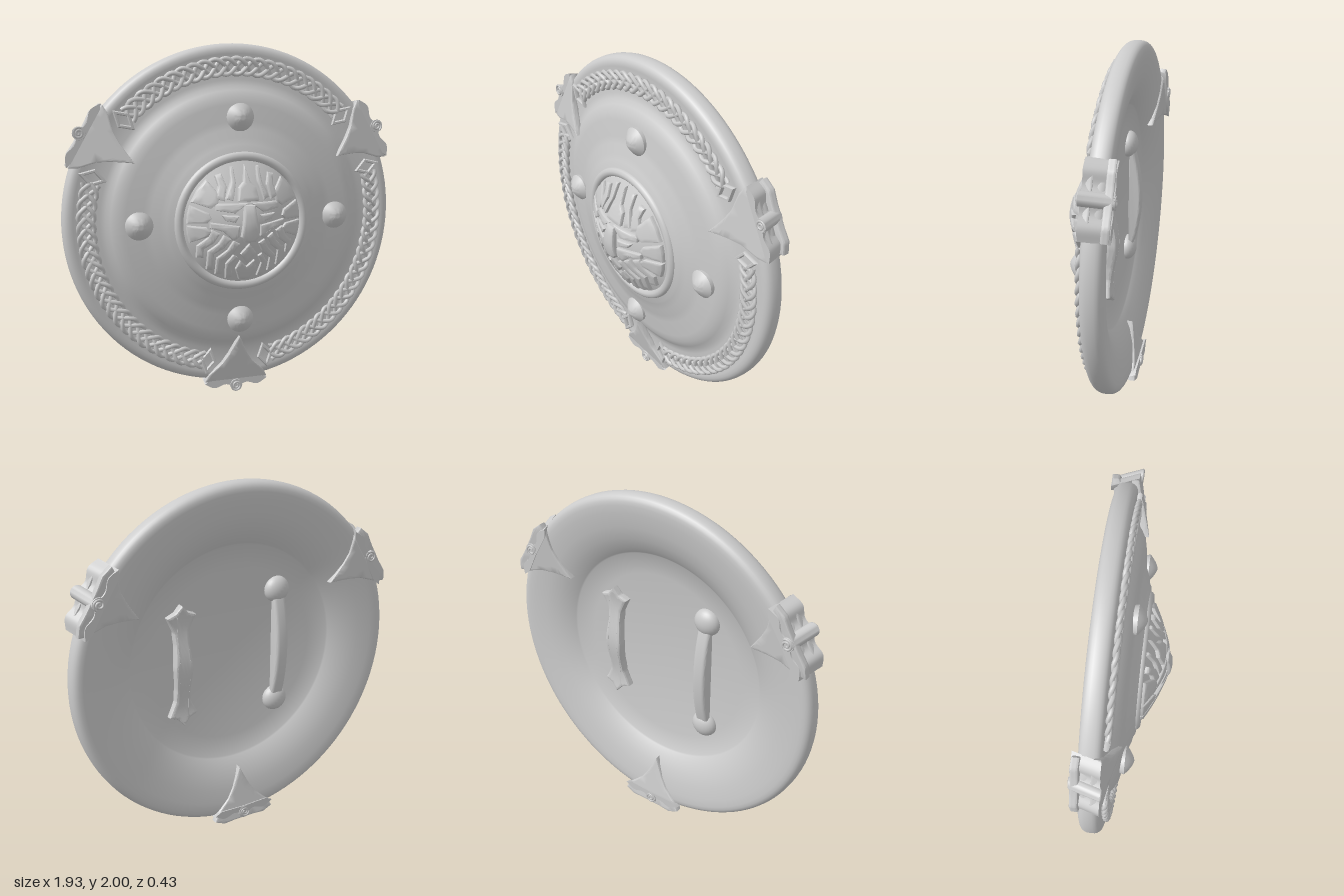
import * as THREE from 'three';
import { toCreasedNormals } from 'three/addons/utils/BufferGeometryUtils.js';

const CY = 1.035; // height of the shield's centre
const DEG = Math.PI / 180;
const mat = new THREE.MeshStandardMaterial({ color: 0xcccccc });

function add(parent, name, geo, crease = 0.6) {
  const mesh = new THREE.Mesh(crease ? toCreasedNormals(geo, crease) : geo, mat);
  mesh.name = name;
  parent.add(mesh);
  return mesh;
}

const range = (n, f) => Array.from({ length: n + 1 }, (_, i) => f(i / n));
const toVectors = (pts, s = 1) => pts.map(([x, y]) => new THREE.Vector2(x * s, y * s));
const shapeOf = (pts, s) => new THREE.Shape(toVectors(pts, s));
const flip = pts => pts.map(([x, y]) => [-x, y]);

// Lathe turned to face +z; points are [radius, z], from back to front
const latheZ = (pts, segments) => new THREE.LatheGeometry(toVectors(pts), segments).rotateX(Math.PI / 2);

// Completes a half outline that runs along the +x side
const mirrored = half => [...half, ...flip(half.filter(p => p[0] > 0).reverse())];

// Bevelled plate, subdivided and bent so that its base follows z = f(x, y)
function drape(shape, depth, bevel, f, levels = 2) {
  const flat = new THREE.ExtrudeGeometry(shape, {
    depth: depth - bevel, bevelSize: bevel, bevelOffset: -bevel, bevelThickness: bevel, bevelSegments: 2,
  });
  const p = flat.attributes.position;
  const out = [];
  const split = (a, b, c, n) => {
    if (n === 0) {
      for (const v of [a, b, c]) out.push(v.x, v.y, v.z + f(v.x, v.y));
      return;
    }
    const ab = a.clone().lerp(b, 0.5), bc = b.clone().lerp(c, 0.5), ca = c.clone().lerp(a, 0.5);
    split(a, ab, ca, n - 1); split(ab, b, bc, n - 1);
    split(ca, bc, c, n - 1); split(ab, bc, ca, n - 1);
  };
  const at = i => new THREE.Vector3().fromBufferAttribute(p, i);
  for (let i = 0; i < p.count; i += 3) split(at(i), at(i + 1), at(i + 2), levels);
  const geo = new THREE.BufferGeometry();
  geo.setAttribute('position', new THREE.Float32BufferAttribute(out, 3));
  return geo;
}

// Outline of a mitred stroke along a path, its half width going from w0 to w1
function stroke(path, w0, w1) {
  const v = toVectors(path);
  const edge = side => v.map((p, i) => {
    const d1 = p.clone().sub(v[Math.max(i - 1, 0)]).normalize();
    const d2 = v[Math.min(i + 1, v.length - 1)].clone().sub(p).normalize();
    const d = d1.add(d2).normalize();
    const w = side * (w0 + (w1 - w0) * i / (v.length - 1));
    return [p.x - d.y * w, p.y + d.x * w];
  });
  return [...edge(1), ...edge(-1).reverse()];
}

// Block of the mane between two angles, narrower on its inner side
function maneBlock(a0, a1) {
  const at = (r, a) => [r * Math.cos(a * DEG), r * Math.sin(a * DEG)];
  const mid = (a0 + a1) / 2;
  return [at(22.5, a0 + 2), at(32.5, a0), at(32.5, mid), at(32.5, a1), at(22.5, a1 - 2), at(20.5, mid)];
}

const domeZ = r => 0.06 + 0.13 * (1 - Math.pow(Math.min(r, 0.34) / 0.34, 1.5));

// Central boss with a lion face in relief (outlines in hundredths)
function makeBoss() {
  const boss = new THREE.Group();
  boss.name = 'boss';
  add(boss, 'bossDome', latheZ(range(14, t => [0.34 * (1 - t), domeZ(0.34 * (1 - t))]), 64));
  add(boss, 'bossRing', new THREE.TorusGeometry(0.36, 0.026, 10, 80).translate(0, 0, 0.053), 0);
  const onDome = (x, y) => domeZ(Math.hypot(x, y)) - 0.008;
  const plate = (name, pts, depth = 0.03) =>
    add(boss, name, drape(shapeOf(pts, 0.01), depth, 0.007, onDome), 0.5);
  const pair = (name, pts) => { plate(name, pts); plate(name, flip(pts)); };

  plate('crown', mirrored([[0, 32], [2, 23], [5, 20], [6, 13]]));
  plate('nose', mirrored([[3, 11], [5, -6], [3, -9]]), 0.038);
  plate('muzzle', mirrored([[0, -10], [4.5, -16], [0, -22]]));
  plate('chin', mirrored([[0, -24], [4, -20], [6, -25], [3, -32]]));
  pair('brow', [[1, 12], [18, 12], [18, 8.5], [8, 7]]);
  pair('eye', [[6, 5.5], [15, 6], [13, 3], [8, 2]]);
  pair('cheek', [[6, 0], [21, 2], [21, -1], [14, -3], [9, -8], [6, -6]]);
  pair('crownSpike', stroke([[7.5, 31], [7.5, 23], [10.5, 14]], 0.9, 2));
  pair('crownSpike', stroke([[15, 27], [13.5, 21], [15.5, 14]], 1.8, 2.5));
  pair('mane', maneBlock(-17, 0));
  pair('mane', maneBlock(2, 20));
  pair('mane', maneBlock(23, 49));
  pair('beardStrand', stroke([[18, -3], [20.5, -8], [25.5, -12], [25.5, -18]], 2.3, 1.8));
  pair('beardStrand', stroke([[12, -6], [15, -11], [20, -15], [20, -25]], 2.2, 1.6));
  pair('beardStrand', stroke([[7, -9], [10, -14.5], [15.2, -19], [15, -28]], 2, 1.7));
  pair('beardStrand', stroke([[7, -17], [10.2, -22], [9, -30.5]], 1.3, 1.9));
  return boss;
}

// Rim clamp, built with +y pointing outwards from the shield's centre
function makeClamp() {
  const clamp = new THREE.Group();
  clamp.name = 'rimClamp';
  const leaf = shapeOf(mirrored([[0, 0.675], [0.028, 0.735], [0.055, 0.79], [0.09, 0.845], [0.165, 0.915], [0.19, 0.96], [0.13, 0.985], [0.06, 0.98]]));
  add(clamp, 'clampFrontLeaf', drape(leaf, 0.035, 0.006, (x, y) => -0.018 - 0.26 * (y - 0.68)), 0.5);
  add(clamp, 'clampBackLeaf', drape(leaf, 0.035, 0.006, (x, y) => -0.145 - 0.18 * (y - 0.7)), 0.5);
  // Wavy band around the rim, slanting inwards towards the back
  const wave = range(32, t => {
    const x = 0.38 * t - 0.19;
    return [x, 0.993 + 0.009 * Math.cos(x / 0.13 * 2 * Math.PI) - 0.014 * (x / 0.19) ** 6];
  });
  const band = shapeOf([...wave, [0.15, 0.95], [0, 0.955], [-0.15, 0.95]]);
  const slant = geo => {
    const p = geo.attributes.position;
    for (let i = 0; i < p.count; i++) p.setY(i, p.getY(i) + 0.36 * (p.getZ(i) + 0.06));
    return geo;
  };
  add(clamp, 'clampBand', slant(new THREE.ExtrudeGeometry(band, { depth: 0.145, bevelEnabled: false }).translate(0, 0, -0.2)), 0.5);
  const roll = new THREE.CylinderGeometry(0.036, 0.036, 0.155, 24).rotateX(Math.PI / 2).translate(0, 0.993, -0.1275);
  add(clamp, 'clampRoll', slant(roll));
  // Spiral scroll at both ends of the roll
  for (const z of [-0.05, -0.205]) {
    const spiral = range(24, t => {
      const a = t * Math.PI * 3.4, r = 0.031 - 0.024 * t;
      return new THREE.Vector3(r * Math.cos(a), 0.993 + r * Math.sin(a), z);
    });
    add(clamp, 'clampScroll', slant(new THREE.TubeGeometry(new THREE.CatmullRomCurve3(spiral), 40, 0.006, 6)), 0);
  }
  return clamp;
}

// Braided border from the clamp at angle a0 to the next one
function makeKnotwork(a0) {
  const knot = new THREE.Group();
  knot.name = 'knotwork';
  for (let s = 0; s < 4; s++) {
    const path = range(130, t => {
      const a = a0 + (14 + 92 * t) * DEG;
      const w = t * 11 * Math.PI + s * Math.PI / 2;
      const r = 0.842 + 0.044 * Math.sin(w);
      return new THREE.Vector3(r * Math.cos(a), r * Math.sin(a), -0.043 + 0.006 * Math.sin(2 * w));
    });
    add(knot, 'knotStrand', new THREE.TubeGeometry(new THREE.CatmullRomCurve3(path), 170, 0.0125, 6), 0);
  }
  for (const d of [11.8, 108.2]) {
    const a = a0 + d * DEG;
    const end = add(knot, 'knotEnd', new THREE.TorusGeometry(0.048, 0.014, 6, 4), 0.8);
    end.position.set(0.842 * Math.cos(a), 0.842 * Math.sin(a), -0.045);
    end.rotation.z = a;
    end.scale.set(1.3, 0.8, 1);
  }
  return knot;
}

function makeHandles() {
  const handles = new THREE.Group();
  handles.name = 'handles';
  // Arm strap with pointed, three-lobed ends
  const half = [[0, 0.345], [0.035, 0.305], [0.085, 0.285], [0.062, 0.24], [0.044, 0.2], [0.04, 0.13], [0.052, 0]];
  const side = [...half, ...half.slice(0, -1).reverse().map(([x, y]) => [x, -y])];
  const arch = (x, y) => -0.095 - 0.015 * Math.cos(y / 0.69 * Math.PI * 3);
  add(handles, 'armStrap', drape(shapeOf(mirrored(side)), 0.045, 0.01, arch, 3)).position.x = 0.322;
  // Hand grip: straight towards the shield, bellied at the back
  const lens = new THREE.Shape();
  lens.moveTo(-0.07, 0.325);
  lens.quadraticCurveTo(-0.18, 0, -0.07, -0.325);
  const grip = new THREE.ExtrudeGeometry(lens, { depth: 0.035, curveSegments: 24, bevelSize: 0.015, bevelThickness: 0.02, bevelSegments: 4 });
  add(handles, 'handGrip', grip.translate(0, 0, -0.0175).rotateY(-Math.PI / 2)).position.x = -0.28;
  for (const s of [1, -1]) {
    const knob = add(handles, 'gripKnob', new THREE.SphereGeometry(0.075, 24, 16), 0);
    knob.position.set(-0.28, s * 0.33, -0.06);
    knob.scale.z = 0.7;
  }
  return handles;
}

export function createModel() {
  const model = new THREE.Group();
  model.name = 'roundShield';
  const shield = new THREE.Group();
  shield.name = 'shield';
  shield.position.y = CY;
  model.add(shield);

  // Dished body: hollow back with a sunken floor, rounded rim, stepped front
  const back = [[0, -0.03], [0.3, -0.042], [0.5, -0.06], [0.62, -0.076], [0.628, -0.082], [0.66, -0.104], [0.72, -0.134], [0.79, -0.155], [0.87, -0.168]];
  const rim = range(12, t => {
    const a = (t - 0.5) * Math.PI, s = Math.sin(a);
    return [0.91 + 0.055 * Math.max(Math.cos(a), 0) ** 0.75, -0.115 + 0.057 * Math.sign(s) * Math.abs(s) ** 0.8];
  });
  const front = [[0.89, -0.063], [0.77, -0.052], [0.74, -0.046], [0.715, -0.026], [0.68, -0.007], [0.64, 0.002], [0.55, 0.012], [0.51, 0.02], [0.46, 0.04], [0.425, 0.047], [0.41, 0.056], [0, 0.056]];
  add(shield, 'shieldBody', latheZ([...back, ...rim, ...front], 112), 0.8);
  shield.add(makeBoss());

  // Four studs with tapering domes
  for (let i = 0; i < 4; i++) {
    const a = i * Math.PI / 2;
    const dome = range(8, t => [0.077 * (1 - t), 0.01 + 0.047 * (1 - (1 - t) ** 1.6)]);
    const stud = add(shield, 'stud', latheZ([[0.07, -0.03], ...dome], 28), 0.9);
    stud.position.set(0.57 * Math.cos(a), 0.57 * Math.sin(a), 0.016);
  }
  for (let i = 0; i < 3; i++) {
    const a = -Math.PI / 2 + i * Math.PI * 2 / 3;
    const clamp = makeClamp();
    clamp.rotation.z = a - Math.PI / 2;
    shield.add(clamp, makeKnotwork(a));
  }
  shield.add(makeHandles());
  return model;
}
